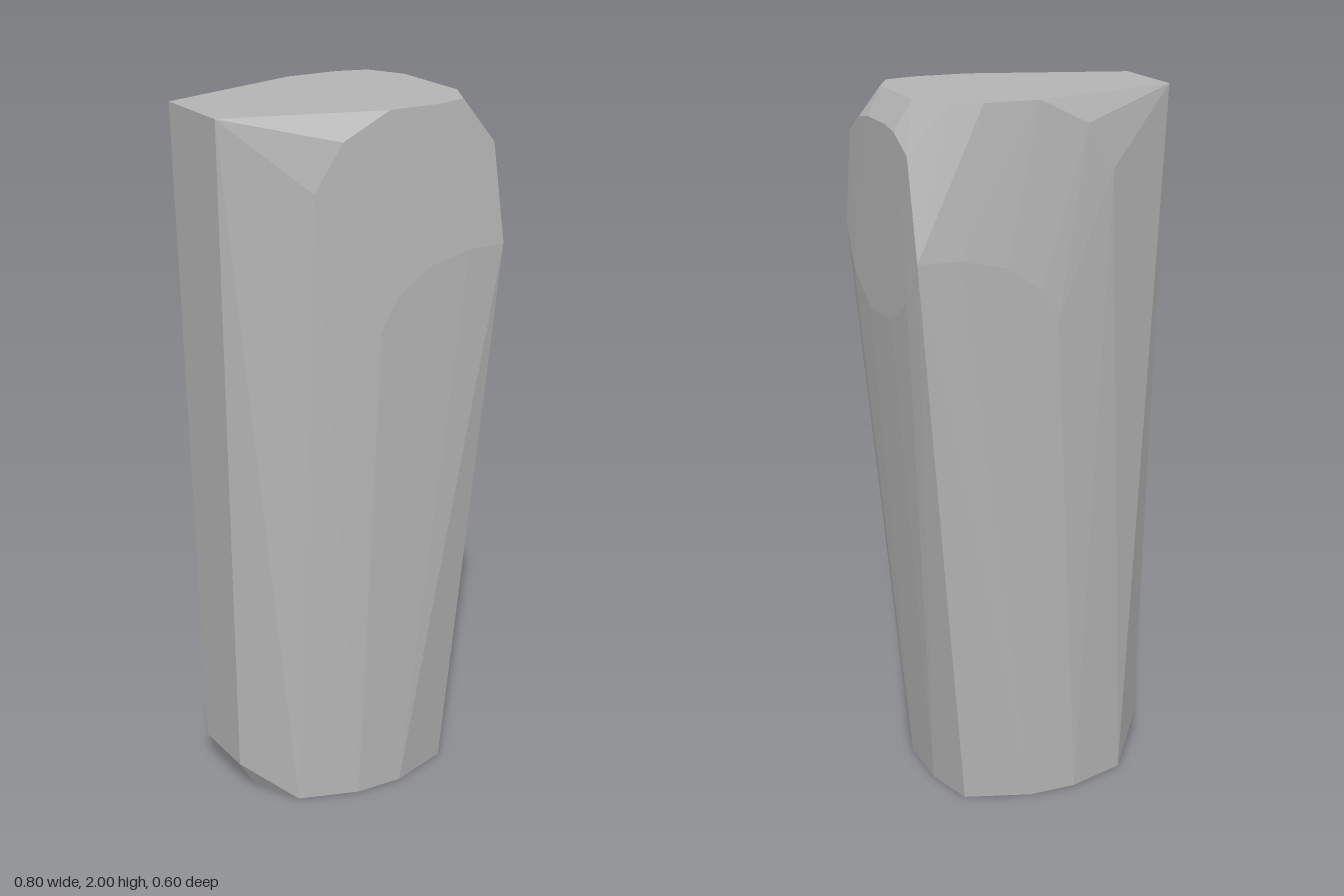
import * as THREE from 'three';
import { ConvexGeometry } from 'three/addons/geometries/ConvexGeometry.js';

// Corner points [x, y, z] of one half; each is mirrored across z = 0
const foot = [
  [-0.3, 0, 0.1], [-0.23, 0, 0.24], [-0.06, 0, 0.298], [0.08, 0, 0.3],
  [0.26, 0, 0.24], [0.3, 0, 0.09], [-0.348, 0.08, 0.1],
];
const shoulder = [
  [0, 1.41, 0.3], [0.05, 1.5, 0.301], [0.15, 1.57, 0.302], [0.28, 1.6, 0.302], [0.398, 1.6, 0.295],
  [-0.18, 1.8, 0.25], [-0.1, 1.93, 0.262],
  [0.402, 1.4, 0.09], [0.402, 1.48, 0.22],
];
const crown = [
  [0.402, 1.93, 0.07], [0.402, 1.92, 0.14], [0.4, 1.87, 0.235],
  [-0.402, 2, 0.13], [0.04, 2, 0.266], [0.2, 2, 0.266], [0.29, 2, 0.24], [0.345, 2, 0.13],
];

export function createModel() {
  const group = new THREE.Group();
  group.name = 'stonePillar';

  const stone = new THREE.MeshStandardMaterial({ color: 0xb4b4b4 });
  stone.name = 'grey stone';

  // Faceted tapering block with a pointed left edge and bevelled right crown
  const points = [...foot, ...shoulder, ...crown].flatMap(([x, y, z]) => [
    new THREE.Vector3(x, y, z), new THREE.Vector3(x, y, -z),
  ]);
  const block = new THREE.Mesh(new ConvexGeometry(points), stone);
  block.name = 'block';
  group.add(block);
  return group;
}
